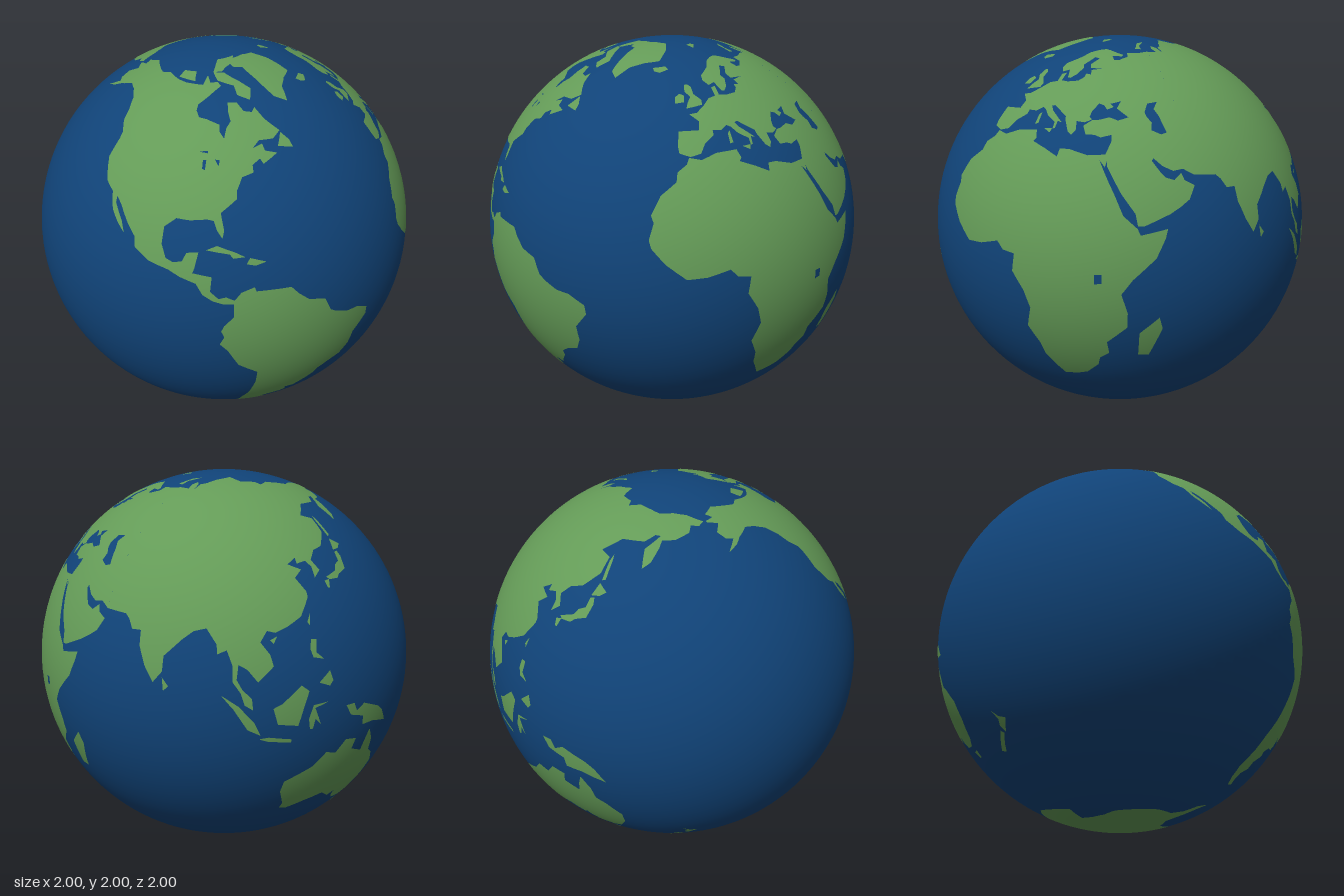
import * as THREE from 'three';

const ocean = new THREE.MeshStandardMaterial({ color: 0x104378 });
ocean.name = 'ocean blue';
const land = new THREE.MeshStandardMaterial({ color: 0x649b57 });
land.name = 'land green';

const MAX_EDGE = 4; // degrees, longest triangle edge on the land

// Coast outlines as longitude, latitude pairs in degrees
const continents = {
  northAmericaNorth: [-168, 66, -162, 67, -166, 68.5, -157, 71, -145, 70, -135, 69, -128, 70, -115, 68.5, -108, 68,
    -95, 68, -94, 72, -90, 69, -85, 69.5, -82, 68, -86, 66, -94, 61, -94, 59, -92, 57, -88, 56.5, -82, 55, -82, 53,
    -80, 51, -79, 54, -77, 56, -78, 59, -78, 62, -73, 62, -70, 59, -66, 58.5, -64, 60, -61, 56, -56, 52, -60, 50,
    -66, 50, -69, 48, -124.5, 48, -128, 51, -130, 54.5, -134, 58, -140, 60, -146, 60.8, -152, 59, -154, 58.5,
    -158, 56.5, -164, 54.7, -158, 58.5, -162, 59, -165, 61.5, -161, 64.5, -168, 65.5],
  northAmericaSouth: [-124.5, 48, -69, 48, -65, 49, -64.5, 47, -60, 46, -66, 43.5, -67, 45, -70, 43.5, -70, 41.5,
    -74, 40.5, -76, 37, -76, 35, -81, 31.5, -80, 27, -80.5, 25, -82, 27, -83, 29.5, -85, 29.8, -90, 29.3, -94, 29.5,
    -97.3, 27, -97.5, 22.5, -96, 19, -94, 18.2, -91.5, 18.6, -90.3, 21, -87, 21.4, -88, 17, -88.5, 15.8, -83.3, 15,
    -83.7, 11, -81.5, 9, -79.5, 9.5, -77.3, 8.5, -77.5, 7.5, -80, 7.4, -83, 8.3, -85.7, 10, -87.5, 13, -92, 14.5,
    -95, 16, -101, 17.5, -105.5, 20.3, -106, 23, -109, 26, -112.5, 30, -114.7, 31.7, -114.5, 30, -111, 26,
    -109.5, 23, -112, 25, -115, 28, -117, 32.5, -120.5, 34.5, -122.5, 37.5, -124.3, 40.5, -124, 46],
  southAmerica: [-77.3, 8.5, -75.5, 10.7, -72, 12, -71.5, 10.8, -68, 10.8, -62, 10.7, -60, 8.5, -57, 6, -52, 4.7,
    -50, 0.5, -48, -0.8, -44, -2.5, -40, -2.8, -35.3, -5.2, -35, -8, -39, -13, -39, -18, -41, -22, -45, -23.5,
    -48.5, -26, -49, -28.5, -53, -33, -54.5, -34.8, -58, -34, -57, -36.5, -58, -38.3, -62, -39, -65, -41,
    -63.7, -42.5, -67, -45.5, -66, -48, -69, -50.5, -68.5, -52.5, -65.5, -54.7, -69, -55.3, -73, -53, -75.5, -49,
    -74, -43, -73.5, -38, -71.5, -32, -70.3, -24, -70.3, -18.3, -76, -14, -79, -8, -81.2, -5.5, -80, -3, -80.8, -1,
    -80, 0.8, -77.5, 3.5, -77.5, 7.5],
  africa: [-6, 35.8, -2, 35.1, 3, 36.8, 10, 37.3, 11, 35, 10.2, 34, 15, 32.3, 19.5, 30.3, 20, 32.5, 23, 32.5, 29, 31,
    32.5, 31.2, 32.6, 29.8, 35.5, 24, 37.3, 20.5, 39.5, 15.5, 43.2, 12.2, 44, 10.5, 51.2, 11.9, 50.5, 9.5, 48, 4.5,
    42, -1, 39, -5, 40.7, -10.5, 40.6, -15, 35, -20, 35.5, -24, 32.7, -26, 32, -29, 28, -33, 25, -34, 20, -34.8,
    18.2, -32, 15.2, -27, 14.5, -22.5, 11.8, -17, 13.7, -11, 12.2, -6, 9, -1, 9.7, 3.8, 6, 4.3, 4, 6.4, -2, 4.8,
    -7.5, 4.4, -13, 8.5, -16.7, 12.5, -17.4, 14.7, -16.2, 19, -17, 21, -14.5, 26, -10, 29.5, -9.7, 32, -6.8, 34],
  europe: [-5.5, 36, -9, 37, -9.4, 39, -9, 43.2, -1.8, 43.4, -1.2, 46, -4.6, 48.3, -1.5, 48.7, 2, 51, 5, 53.3, 8.5, 54,
    8.2, 57, 10.5, 57.6, 10.5, 54.3, 14, 54, 19, 54.5, 21.2, 56, 21.5, 57.5, 24, 57.2, 23.5, 59.2, 30, 60, 38, 64.2,
    40.2, 65, 44, 66, 44, 68.3, 54, 68.4, 60, 69, 60, 46, 53, 46.8, 49, 46.3, 47.5, 43.5, 48, 42, 41.6, 42,
    37.5, 44.8, 39, 47.2, 35, 46.3, 36.4, 45.3, 34, 44.4, 32.7, 45.8, 30.8, 46.4, 28.5, 43.7, 28, 42, 29, 41.2,
    26.5, 40.3, 23.7, 40.6, 24, 38, 22.8, 36.5, 21.3, 37.5, 19.4, 41, 19.3, 42, 15, 44.5, 13.6, 45.3, 12.3, 45,
    13.6, 43.5, 16, 41.8, 18.4, 40, 16.8, 40.4, 16.5, 38.2, 15.7, 38, 15.7, 40, 12.3, 41.8, 10.3, 43.8, 8.8, 44.4,
    6.5, 43.1, 3.2, 43.2, 3.2, 41.8, -0.3, 39.5, -2, 36.8],
  scandinavia: [30, 60, 22.5, 60, 21.5, 62, 25.3, 65, 22, 65.7, 17.3, 61.5, 18.5, 60, 16.5, 57, 14.2, 55.5, 12.8, 55.5,
    11, 59, 7.5, 58, 5.2, 60, 5.5, 62, 12, 65.5, 15.5, 68.5, 21, 70.2, 27, 71, 31, 70.2, 41, 67.2, 40, 66.3,
    33.5, 66.6, 35, 64.3, 38, 64.2],
  westAsia: [41.6, 42, 48, 42, 49.5, 40.3, 49, 38, 52, 36.7, 54, 37.2, 53, 40, 52.5, 42, 51, 44.5, 53, 46.8, 60, 46,
    60, 25.3, 57, 27, 54, 26.6, 51, 28, 48.5, 30.2, 48, 29.5, 50, 26.7, 51.5, 25, 54, 24.2, 56.3, 26, 57, 24,
    59.8, 22.5, 57.8, 19, 55, 17.2, 52, 15.6, 45, 12.8, 43.3, 12.8, 42.7, 16, 39, 21, 35, 28, 34.8, 29.4, 34.3, 27.9,
    32.6, 29.8, 32.5, 31.2, 34.3, 31.3, 36, 35, 36, 36.8, 32.5, 36, 30.5, 36.7, 27.5, 36.8, 26.3, 39.3, 29, 41,
    31.5, 41.2, 35, 42, 38, 41],
  northAsia: [60, 69, 68, 68.5, 67, 71, 70, 73, 73, 71.5, 73, 68, 75, 71.5, 80, 72.5, 87, 75, 104, 77.7, 113, 73.7,
    127, 73, 130, 71, 140, 72.5, 152, 71, 160, 69.6, 170, 70, 180, 69, 190, 66, 186, 64.5, 181, 65, 179, 62.5,
    171, 60.2, 164, 60, 163, 57.5, 160, 53, 156.7, 51, 156, 57, 163, 61.5, 160, 61.7, 155, 59.3, 143, 59.2,
    135.5, 54.7, 141, 53, 140.3, 48, 135, 43.5, 130.5, 42.5, 127.5, 39.7, 129.4, 36.5, 126.5, 34.5, 126.7, 37.7,
    125, 39.6, 121.5, 39, 121.5, 40.8, 118, 39, 122.4, 37.2, 119.3, 35, 122, 31, 122, 29.5, 118.5, 24.6, 114, 22.3,
    110.3, 21, 108, 21.6, 60, 25.3],
  southAsia: [60, 25.3, 66.5, 25.2, 68.5, 23.5, 70, 21, 72.8, 21, 73, 17, 75, 12, 77.5, 8, 80, 11, 80.2, 15, 85, 19.5,
    88, 21.7, 91.5, 22.5, 94.3, 18.5, 94.5, 16, 97, 17, 98.5, 13, 98.4, 9, 100.5, 6, 101.5, 2.8, 103.7, 1.4,
    103.4, 4.5, 101, 6.8, 99.5, 9.5, 100, 13.3, 102.3, 12, 105, 8.7, 107, 10.5, 109.3, 12.5, 108.5, 15.5, 106, 18.8,
    108, 21.6],
  australia: [114, -22, 113.5, -26, 115.7, -32, 115.2, -34.3, 118, -35, 124, -33, 131, -31.5, 135.5, -34.7, 137.8, -33,
    138.2, -35.5, 140.5, -38, 146.3, -39, 150, -37.3, 153, -31.5, 153.2, -26, 149, -21, 146, -19, 145.3, -15,
    142.6, -10.8, 141.5, -14, 140.8, -17.5, 136, -15.5, 136.8, -12.2, 132.5, -11.4, 129.5, -15, 126, -14, 122.3, -18],
  antarctica: [-180, -78, -160, -77.5, -145, -75.5, -115, -74, -100, -73, -80, -73, -70, -70, -66, -66, -58, -63.3,
    -61, -67, -62, -74, -60, -76.5, -40, -78, -28, -76, -15, -72, 0, -70, 15, -69.7, 35, -69, 50, -66.5, 70, -68.5,
    75, -69.5, 88, -66.5, 110, -66, 135, -66, 150, -68.5, 170, -71.5, 164, -77, 180, -78, 180, -90, -180, -90],
};

const islands = {
  greenland: [-22, 81, -18, 76, -21, 69, -32, 67.5, -40, 65, -44, 60, -50, 62.5, -53, 67, -55, 70, -60, 75.5, -70, 76,
    -73, 78, -65, 80.5, -45, 81.7],
  ellesmere: [-90, 79.8, -62, 82, -70, 78, -78, 76, -82, 74, -90, 73.5],
  baffin: [-90, 73.5, -80, 73.5, -68, 69.5, -62, 66.5, -65, 62.5, -72, 64.5, -73, 68, -85, 70],
  victoria: [-117, 69.5, -118, 72.5, -106, 73, -102, 69],
  newfoundland: [-59, 47.7, -53, 46.8, -53.5, 49, -56, 51.5],
  cuba: [-85, 22, -82, 23.2, -77, 21.5, -74.3, 20.2, -77.5, 19.9, -78.5, 21],
  hispaniola: [-74, 18.3, -73, 19.9, -68.5, 18.6, -71.5, 17.8],
  iceland: [-22.5, 64, -24, 65.5, -16, 66.4, -13.7, 65, -18.8, 63.4],
  britain: [-5.5, 50.1, 1.3, 51.2, 1.6, 52.8, -1.5, 55, -2, 57.6, -3.5, 58.6, -5.2, 58.5, -5.5, 56, -3.2, 54, -4.7, 52],
  ireland: [-10, 51.8, -6.3, 52.2, -5.8, 54.5, -8, 55.2, -10, 54],
  svalbard: [12, 79.5, 16, 76.8, 25, 79.5, 20, 80.3],
  novayaZemlya: [52, 71.2, 57, 70.7, 58, 73.5, 68, 76.7, 58, 75.5],
  sardinia: [8.4, 39, 9.6, 39.3, 9.4, 42.8, 8.5, 42],
  sicily: [12.5, 38, 15.1, 36.8, 15.5, 38.2],
  madagascar: [49.3, -12.2, 50.4, -15.8, 47.2, -25, 44, -24.8, 44, -17],
  sriLanka: [80, 9.5, 81.8, 7.3, 80.4, 6],
  sumatra: [95.4, 5.6, 100, 2.5, 104, -2, 105.8, -5.8, 102.3, -4, 98.7, 1.7],
  java: [105.3, -6.8, 108, -6.5, 114.3, -7.7, 114.3, -8.6, 108, -7.8],
  borneo: [109, 1.5, 111.3, 2.5, 116.8, 6.9, 119, 5.2, 117.5, 1, 116, -4, 110.3, -3],
  sulawesi: [119.5, -5.5, 119, -2.5, 120.3, 1.2, 125, 1.5, 120.8, 0.3, 122.8, -4.6, 121, -2.8, 120.4, -5.5],
  newGuinea: [131, -0.8, 134, -0.8, 135.2, -3.3, 138, -1.7, 145, -4.4, 147.6, -6.3, 150.7, -10.4, 147, -9.5,
    143.5, -8.5, 138.5, -8.3, 138, -5.5, 133, -4],
  luzon: [120.5, 18.5, 122.2, 18.4, 121.7, 15, 124, 13, 120.7, 13.8, 120, 16],
  mindanao: [122, 7, 125.5, 9.8, 126.4, 7, 125.3, 5.7],
  taiwan: [121.5, 25.2, 120.2, 23, 120.9, 22],
  hainan: [108.7, 19.2, 110.8, 20.1, 109.6, 18.2],
  honshu: [131, 34.3, 136, 35.7, 137, 37.3, 139.5, 38.3, 140, 41, 141.5, 41.3, 142, 39.5, 140.8, 35.7, 137, 34.6,
    135.5, 33.5, 132, 33.5],
  kyushu: [129.8, 33.3, 131.8, 33.6, 131, 31.2, 130.2, 31.3],
  hokkaido: [140, 41.7, 141.7, 45.4, 145.4, 43.3, 143.2, 42],
  sakhalin: [142, 46.2, 143.4, 46.6, 143.2, 52, 142.6, 54.2, 141.8, 52],
  tasmania: [144.8, -40.8, 148.2, -40.9, 147.5, -43.5, 146, -43.3],
  newZealandNorth: [173, -34.6, 175.5, -36.8, 178.4, -37.8, 175.3, -41.5, 174, -39.3, 174.8, -37.5],
  newZealandSouth: [172.8, -40.6, 174.2, -41.6, 171, -44.5, 169, -46.6, 166.5, -46, 170, -43],
};

// Lakes cut out of the land
const lakes = {
  africa: [[32, 0.3, 34, 0.3, 34, -2, 32, -2.3]],
  northAmericaSouth: [[-87.6, 45, -86.4, 45, -86.6, 42.3, -87.6, 42.6], [-83.3, 45.2, -81.5, 45, -82, 43.5],
    [-90, 47.2, -86, 47.4, -86, 46.8]],
};

const pairs = (flat) => {
  const out = [];
  for (let i = 0; i < flat.length; i += 2) out.push(new THREE.Vector2(flat[i], flat[i + 1]));
  return out;
};

// Longitude 0 faces +x, longitude -90 faces +z
const onGlobe = (p) => {
  const lon = THREE.MathUtils.degToRad(p.x), lat = THREE.MathUtils.degToRad(p.y);
  return [Math.cos(lat) * Math.cos(lon), Math.sin(lat), -Math.cos(lat) * Math.sin(lon)];
};

// Fill an outline, halve its long edges and bend it onto the unit sphere
function landGeometry(outline, holes = []) {
  const contour = pairs(outline);
  if (THREE.ShapeUtils.isClockWise(contour)) contour.reverse();
  const rings = holes.map(pairs);
  const points = [contour, ...rings].flat();
  const positions = [];
  const split = (a, b, c) => {
    const ab = a.distanceTo(b), bc = b.distanceTo(c), ca = c.distanceTo(a);
    const longest = Math.max(ab, bc, ca);
    if (longest <= MAX_EDGE) return positions.push(...onGlobe(a), ...onGlobe(b), ...onGlobe(c));
    if (bc === longest) return split(b, c, a);
    if (ca === longest && ab !== longest) return split(c, a, b);
    const m = a.clone().add(b).multiplyScalar(0.5);
    split(a, m, c);
    split(m, b, c);
  };
  for (const face of THREE.ShapeUtils.triangulateShape(contour, rings)) {
    const [a, b, c] = face.map((i) => points[i]);
    const turn = b.clone().sub(a).cross(c.clone().sub(a));
    if (turn > 0) split(a, b, c);
    else split(a, c, b);
  }
  const geometry = new THREE.BufferGeometry();
  geometry.setAttribute('position', new THREE.Float32BufferAttribute(positions, 3));
  geometry.setAttribute('normal', new THREE.Float32BufferAttribute(positions, 3));
  return geometry;
}

export function createModel() {
  const globe = new THREE.Group();
  globe.name = 'globe';

  // Sea
  const sea = new THREE.Mesh(new THREE.SphereGeometry(0.9985, 128, 64), ocean);
  sea.name = 'ocean';
  sea.position.y = 1;
  globe.add(sea);

  // Land
  for (const [name, outline] of Object.entries({ ...continents, ...islands })) {
    const mesh = new THREE.Mesh(landGeometry(outline, lakes[name]), land);
    mesh.name = name;
    mesh.position.y = 1;
    globe.add(mesh);
  }
  return globe;
}
